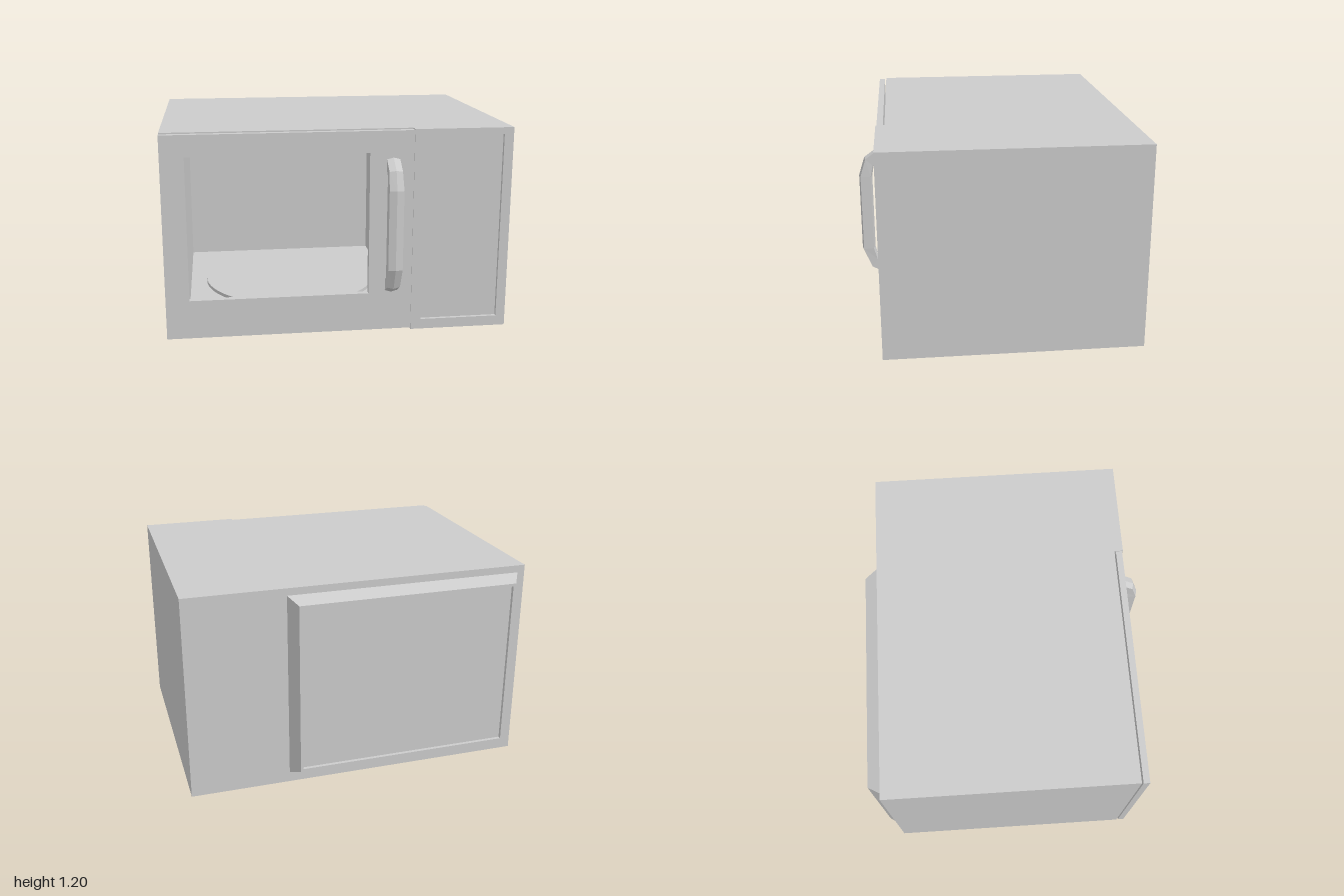
import * as THREE from 'three';

const material = new THREE.MeshStandardMaterial({ color: 0xcccccc, flatShading: true });

function part(name, geometry) {
  const mesh = new THREE.Mesh(geometry, material);
  mesh.name = name;
  return mesh;
}

function box(name, x0, x1, y0, y1, z0, z1) {
  const g = new THREE.BoxGeometry(x1 - x0, y1 - y0, z1 - z0);
  return part(name, g.translate((x0 + x1) / 2, (y0 + y1) / 2, (z0 + z1) / 2));
}

const corners = ([x0, x1, y0, y1]) => [[x0, y0], [x1, y0], [x1, y1], [x0, y1]];

// Rectangular plate with a rectangular opening, between z0 and z1
function frame(name, outer, inner, z0, z1) {
  const toPoints = (r) => corners(r).map(([x, y]) => new THREE.Vector2(x, y));
  const shape = new THREE.Shape(toPoints(outer));
  shape.holes.push(new THREE.Path(toPoints(inner)));
  const g = new THREE.ExtrudeGeometry(shape, { depth: z1 - z0, bevelEnabled: false });
  return part(name, g.translate(0, 0, z0));
}

// Skin over a list of rings, counter-clockwise when looking along the path
function loft(name, rings) {
  const pos = [];
  const n = rings[0].length;
  const tri = (a, b, c) => pos.push(...a, ...b, ...c);
  for (let r = 0; r < rings.length - 1; r++) {
    const p = rings[r], q = rings[r + 1];
    for (let i = 0; i < n; i++) {
      const j = (i + 1) % n;
      tri(p[i], q[i], q[j]);
      tri(p[i], q[j], p[j]);
    }
  }
  const first = rings[0], last = rings[rings.length - 1];
  for (let i = 1; i < n - 1; i++) {
    tri(first[0], first[i], first[i + 1]);
    tri(last[0], last[i + 1], last[i]);
  }
  const g = new THREE.BufferGeometry();
  g.setAttribute('position', new THREE.Float32BufferAttribute(pos, 3));
  g.computeVertexNormals();
  return part(name, g);
}

export function createModel() {
  const model = new THREE.Group();
  model.name = 'microwaveOven';

  // Housing: a shell around the cooking cavity and a solid rear section
  model.add(frame('housing', [-1, 1, 0, 1.2], [-0.87, 0.38, 0.125, 1.12], -0.56, 0.675));
  model.add(box('housingBack', -1, 1, 0, 1.2, -0.765, -0.56));

  // Control column with a sunken panel
  model.add(box('controlPanel', 0.425, 1, 0, 1.2, 0.675, 0.707));
  model.add(frame('controlSurround', [0.425, 1, 0, 1.2], [0.485, 0.945, 0.06, 1.16], 0.707, 0.727));

  // Door with an open window, set off from the housing by a narrow gap
  model.add(frame('door', [-1, 0.425, 0.008, 1.194], [-0.865, 0.17, 0.235, 1.07], 0.685, 0.722));

  // Turntable on the cavity floor
  const plate = new THREE.CylinderGeometry(0.54, 0.54, 0.02, 64).translate(-0.23, 0.135, 0.06);
  model.add(part('turntable', plate));

  // Tapered rear cover with a shallow recessed face: x0, x1, y0, y1, z
  const cover = [
    [-0.96, 0.425, 0.06, 1.16, -0.76],
    [-0.91, 0.375, 0.1, 1.12, -0.843],
    [-0.895, 0.36, 0.115, 1.105, -0.843],
    [-0.895, 0.36, 0.115, 1.105, -0.823],
  ];
  model.add(loft('rearCover', cover.map((r) => corners(r).map(([x, y]) => [x, y, r[4]]))));

  // Angular handle, from bottom to top: outer z, y, inner z, y, half width
  const handle = [
    [0.715, 0.235, 0.715, 0.325, 0.038],
    [0.79, 0.28, 0.747, 0.345, 0.038],
    [0.84, 0.405, 0.762, 0.41, 0.042],
    [0.84, 0.87, 0.762, 0.865, 0.042],
    [0.805, 0.98, 0.75, 0.93, 0.038],
    [0.715, 1.045, 0.715, 0.965, 0.038],
  ];
  const section = [[0, 0], [-1, 0.12], [-1, 0.88], [0, 1], [1, 0.88], [1, 0.12]];
  model.add(loft('doorHandle', handle.map(([oz, oy, iz, iy, w]) =>
    section.map(([s, t]) => [0.305 + s * w, oy + (iy - oy) * t, oz + (iz - oz) * t]))));

  return model;
}
